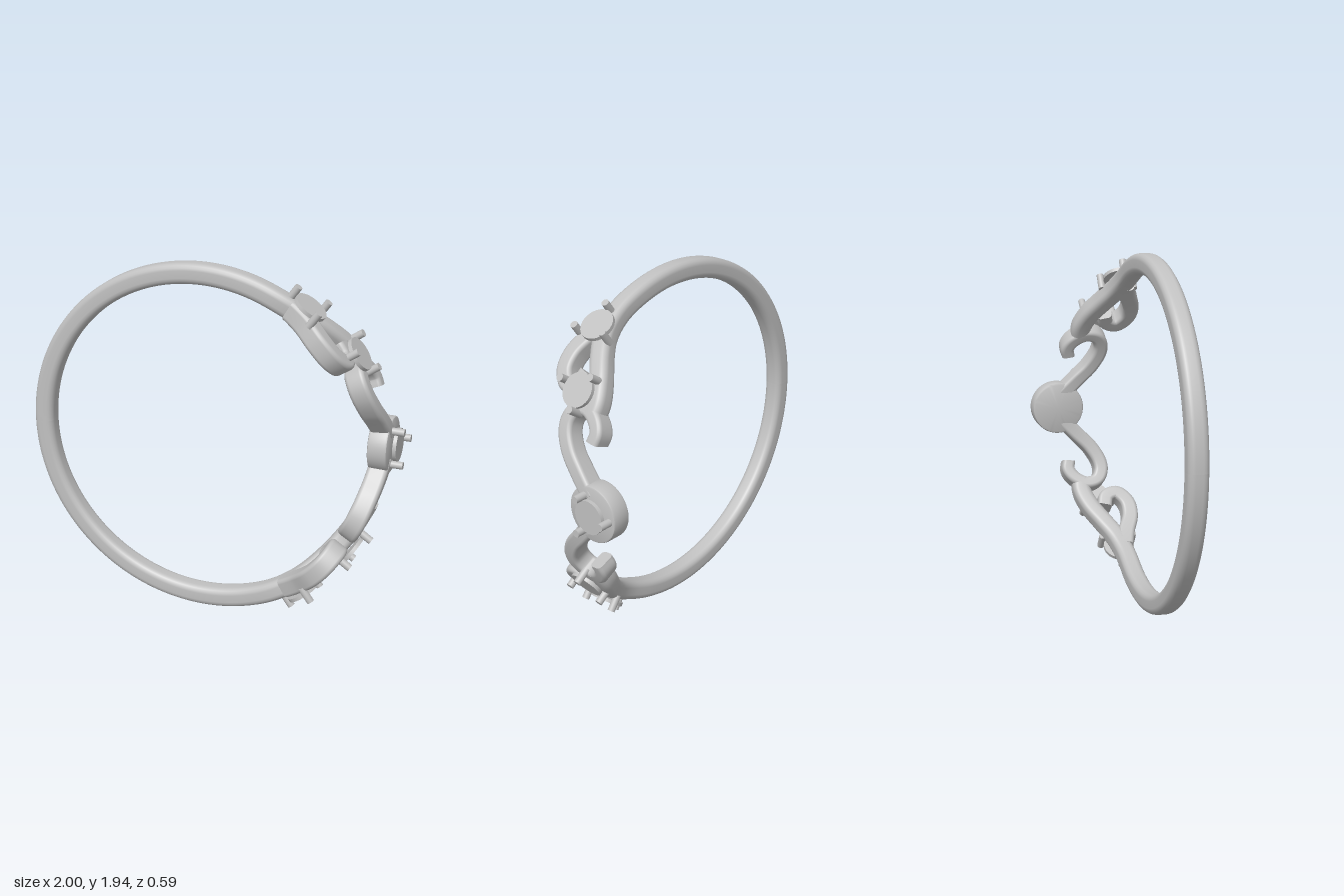
import * as THREE from 'three';
import { toCreasedNormals } from 'three/addons/utils/BufferGeometryUtils.js';

const CX = -0.03, CY = 0.97;      // axis of the bangle
const R_OUT = 0.97, R_MID = 0.915, DEPTH = 0.11;
const RAD = Math.PI / 180;

// Rounded rectangle outline, counter-clockwise, in (across, radial)
function roundedSection(w, h, r) {
  const pts = [];
  for (let k = 0; k < 4; k++) {
    const sx = k === 0 || k === 3 ? 1 : -1, sy = k < 2 ? 1 : -1;
    for (let i = 0; i <= 4; i++) {
      const a = (k + i / 4) * Math.PI / 2;
      pts.push([sx * (w / 2 - r) + r * Math.cos(a), sy * (h / 2 - r) + r * Math.sin(a)]);
    }
  }
  return pts;
}

// Sweeps a rounded bar along [angle in degrees, z] points lying on the cylinder
function wrappedBar(path, w0, w1, corner, segments, sign) {
  const curve = new THREE.CatmullRomCurve3(
    path.map(([deg, z]) => new THREE.Vector3(sign * deg * RAD * R_OUT, z, 0)));
  curve.arcLengthDivisions = 600;
  const pos = [], idx = [], n = 20;
  const add = (s, z, r) => {
    const a = s / R_OUT;
    pos.push(CX + r * Math.cos(a), CY + r * Math.sin(a), z);
    return pos.length / 3 - 1;
  };
  const ring = (t) => {
    const p = curve.getPointAt(t), d = curve.getTangentAt(t);
    const section = roundedSection(w0 + (w1 - w0) * t, DEPTH, corner);
    return section.map(([u, v]) => add(p.x - d.y * u, p.y + d.x * u, R_MID + v));
  };
  let prev = null;
  for (let i = 0; i <= segments; i++) {
    const cur = ring(i / segments);
    for (let j = 0; prev && j < n; j++) {
      const k = (j + 1) % n;
      idx.push(prev[j], prev[k], cur[j], prev[k], cur[k], cur[j]);
    }
    prev = cur;
  }
  // End caps
  for (const t of [0, 1]) {
    const p = curve.getPointAt(t), c = add(p.x, p.y, R_MID), e = ring(t);
    for (let j = 0; j < n; j++) {
      const k = (j + 1) % n;
      if (t) idx.push(c, e[j], e[k]); else idx.push(c, e[k], e[j]);
    }
  }
  const g = new THREE.BufferGeometry();
  g.setAttribute('position', new THREE.Float32BufferAttribute(pos, 3));
  g.setIndex(idx);
  g.computeVertexNormals();
  return g;
}

export function createModel() {
  const model = new THREE.Group();
  model.name = 'scrollBangle';
  const metal = new THREE.MeshStandardMaterial({ color: 0xc0c0c0 });
  metal.name = 'silver';

  const mesh = (name, geometry, parent = model) => {
    const m = new THREE.Mesh(geometry, metal);
    m.name = name;
    parent.add(m);
    return m;
  };

  // Group whose local y axis points outward from the bangle
  const radialGroup = (name, deg, z) => {
    const g = new THREE.Group();
    g.name = name;
    g.position.set(CX, CY, z);
    g.rotation.z = deg * RAD - Math.PI / 2;
    model.add(g);
    return g;
  };

  // Round plate held by three prongs
  const setting = (name, deg, z, turn, sign = 1) => {
    const g = radialGroup(name, sign * deg, z);
    mesh('stonePlate', new THREE.CylinderGeometry(0.09, 0.09, 0.02, 40), g).position.y = 0.985;
    for (let i = 0; i < 3; i++) {
      const a = (turn + i * 120) * RAD;
      mesh('prong', new THREE.CylinderGeometry(0.02, 0.02, 0.09, 20), g)
        .position.set(-sign * 0.108 * Math.sin(a), 0.985, -0.108 * Math.cos(a));
    }
  };

  // Upper and lower halves
  for (const sign of [1, -1]) {
    const side = sign > 0 ? 'upper' : 'lower';
    mesh(side + 'Band', wrappedBar([
      [180, 0.172], [150, 0.172], [120, 0.172], [95, 0.172], [75, 0.172], [63, 0.17],
      [57, 0.155], [52, 0.13], [46, 0.08], [39, 0.015], [33, -0.02], [28.5, -0.02],
    ], 0.108, 0.108, 0.035, 150, sign));
    mesh(side + 'LargeScroll', wrappedBar([
      [58, 0.172], [52, 0.2], [44.5, 0.244], [38.5, 0.237], [34.8, 0.18], [36, 0.12], [40, 0.1],
    ], 0.1, 0.085, 0.022, 60, sign));
    mesh(side + 'HookScroll', wrappedBar([
      [5, -0.11], [11, -0.02], [16, 0.053], [21.5, 0.1], [25.5, 0.105], [29, 0.075],
      [30, 0.01], [27.6, -0.06], [24.2, -0.093], [21, -0.085],
    ], 0.092, 0.075, 0.022, 90, sign));
    setting(side + 'InnerSetting', 34.1, 0.07, 45, sign);
    setting(side + 'OuterSetting', 54, 0.162, 92, sign);
  }

  // Central disc with its own setting
  const disc = radialGroup('centreDisc', 0, -0.14);
  const profile = [[0, 0.855], [0.138, 0.855], [0.148, 0.859], [0.152, 0.869],
    [0.152, 0.95], [0.149, 0.958], [0.142, 0.961], [0, 0.961]]
    .map(([r, y]) => new THREE.Vector2(r, y));
  mesh('discBody', toCreasedNormals(new THREE.LatheGeometry(profile, 56), 0.8), disc);
  setting('centreSetting', 0, -0.147, 0);

  return model;
}
